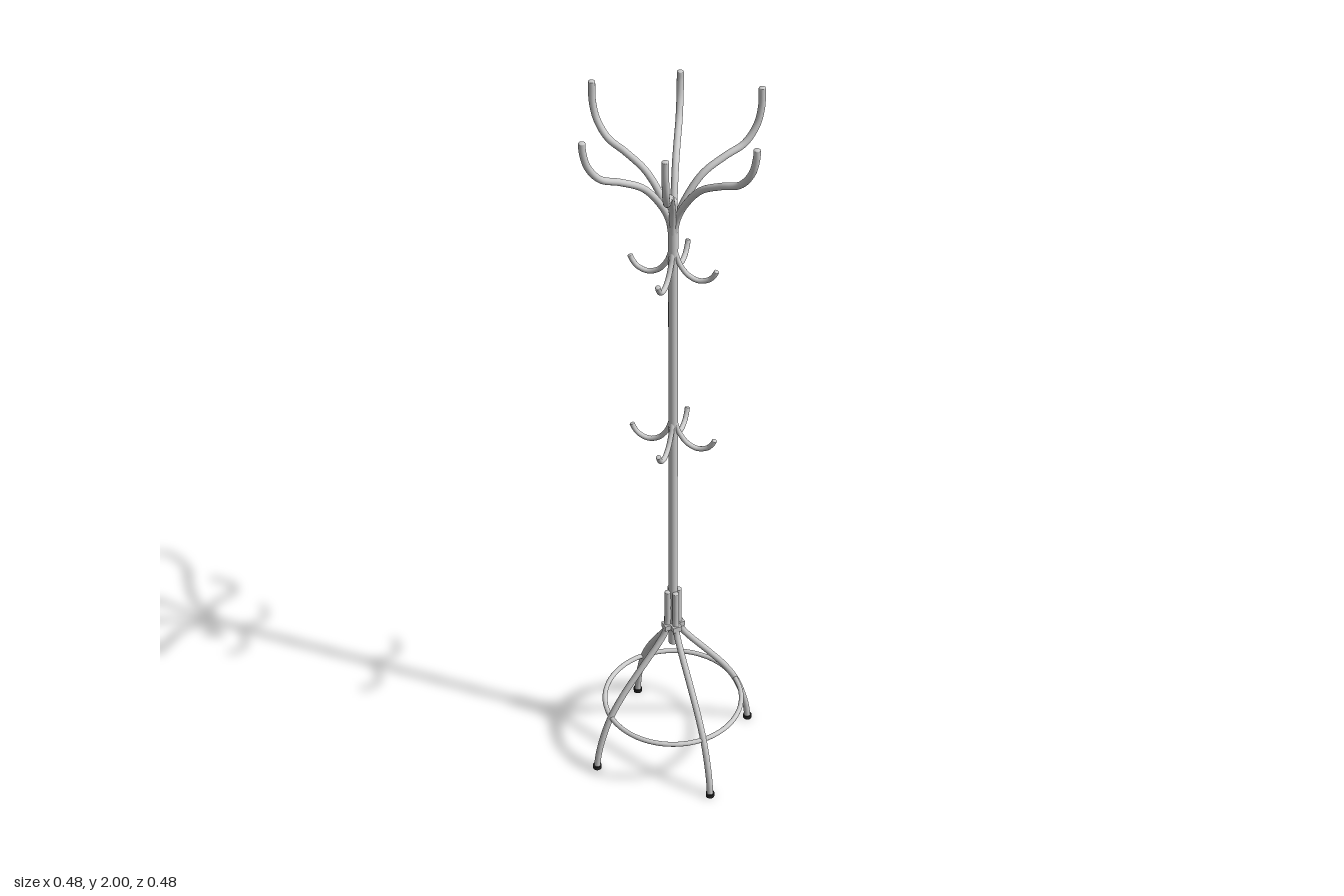
import * as THREE from 'three';

const grey = new THREE.MeshStandardMaterial({ color: 0xcccccc });
const black = new THREE.MeshStandardMaterial({ color: 0x222222 });

function add(parent, name, geometry, material = grey) {
  const mesh = new THREE.Mesh(geometry, material);
  mesh.name = name;
  parent.add(mesh);
  return mesh;
}

// Upright cylinder between two heights
function post(parent, name, radius, y0, y1, material) {
  const mesh = add(parent, name, new THREE.CylinderGeometry(radius, radius, y1 - y0, 24), material);
  mesh.position.y = (y0 + y1) / 2;
  return mesh;
}

// Bent rod through [distance from axis, height] points, with slightly domed ends
function rod(name, points, radius, segments) {
  const group = new THREE.Group();
  group.name = name;
  const curve = new THREE.CatmullRomCurve3(points.map(([r, y]) => new THREE.Vector3(r, y, 0)));
  add(group, name + 'Tube', new THREE.TubeGeometry(curve, segments, radius, 16));
  for (const t of [0, 1]) {
    const dome = new THREE.SphereGeometry(radius, 16, 5, 0, Math.PI * 2, 0, Math.PI / 2);
    const cap = add(group, name + 'End', dome.scale(1, 0.4, 1));
    const outward = curve.getTangentAt(t).multiplyScalar(t ? 1 : -1);
    cap.position.copy(curve.getPointAt(t));
    cap.quaternion.setFromUnitVectors(new THREE.Vector3(0, 1, 0), outward);
  }
  return group;
}

export function createModel() {
  const model = new THREE.Group();
  model.name = 'coatStand';

  // Central pole, socket for the arms and rounded pin
  post(model, 'pole', 0.0118, 0.37, 1.62);
  post(model, 'armSocket', 0.0126, 1.62, 1.68);
  post(model, 'topPin', 0.0105, 1.68, 1.75);
  add(model, 'pinCap', new THREE.SphereGeometry(0.0105, 20, 12)).position.y = 1.75;

  // Four splayed legs with feet and clamp blocks
  const legPoints = [[0.0155, 0.55], [0.0155, 0.50], [0.0165, 0.445], [0.025, 0.41], [0.046, 0.376],
    [0.103, 0.299], [0.155, 0.225], [0.19, 0.16], [0.214, 0.09], [0.225, 0.04], [0.229, 0.005]];
  for (let i = 0; i < 4; i++) {
    const leg = rod('leg', legPoints, 0.0085, 64);
    post(leg, 'foot', 0.0115, 0, 0.011, black).position.x = 0.229;
    add(leg, 'legClamp', new THREE.BoxGeometry(0.02, 0.016, 0.025)).position.set(0.0185, 0.434, 0);
    leg.rotation.y = i * Math.PI / 2;
    model.add(leg);
  }

  // Ring bracing the legs
  const ring = add(model, 'braceRing', new THREE.TorusGeometry(0.185, 0.0065, 14, 96));
  ring.rotation.x = Math.PI / 2;
  ring.position.y = 0.17;

  // Two tiers of four small hooks, set on the diagonals
  const hookPoints = [[0.006, 1.608], [0.016, 1.58], [0.037, 1.553], [0.064, 1.542],
    [0.09, 1.55], [0.104, 1.566], [0.109, 1.577]];
  for (const drop of [0, 0.505]) {
    for (let i = 0; i < 4; i++) {
      const hook = rod('hook', hookPoints, 0.0065, 32);
      hook.position.y = -drop;
      hook.rotation.y = Math.PI / 4 + i * Math.PI / 2;
      model.add(hook);
    }
  }

  // Six upper arms of one bend, alternately tall and cut short
  const armPoints = [[0.003, 1.655], [0.01, 1.70], [0.032, 1.75], [0.077, 1.807], [0.135, 1.839],
    [0.185, 1.86], [0.216, 1.90], [0.228, 1.945]];
  for (let i = 0; i < 6; i++) {
    const tip = [0.229, i % 2 ? 1.967 : 1.9966];
    const arm = rod('arm', [...armPoints, tip], 0.0085, 64);
    arm.rotation.y = i * Math.PI / 3;
    model.add(arm);
  }

  return model;
}
